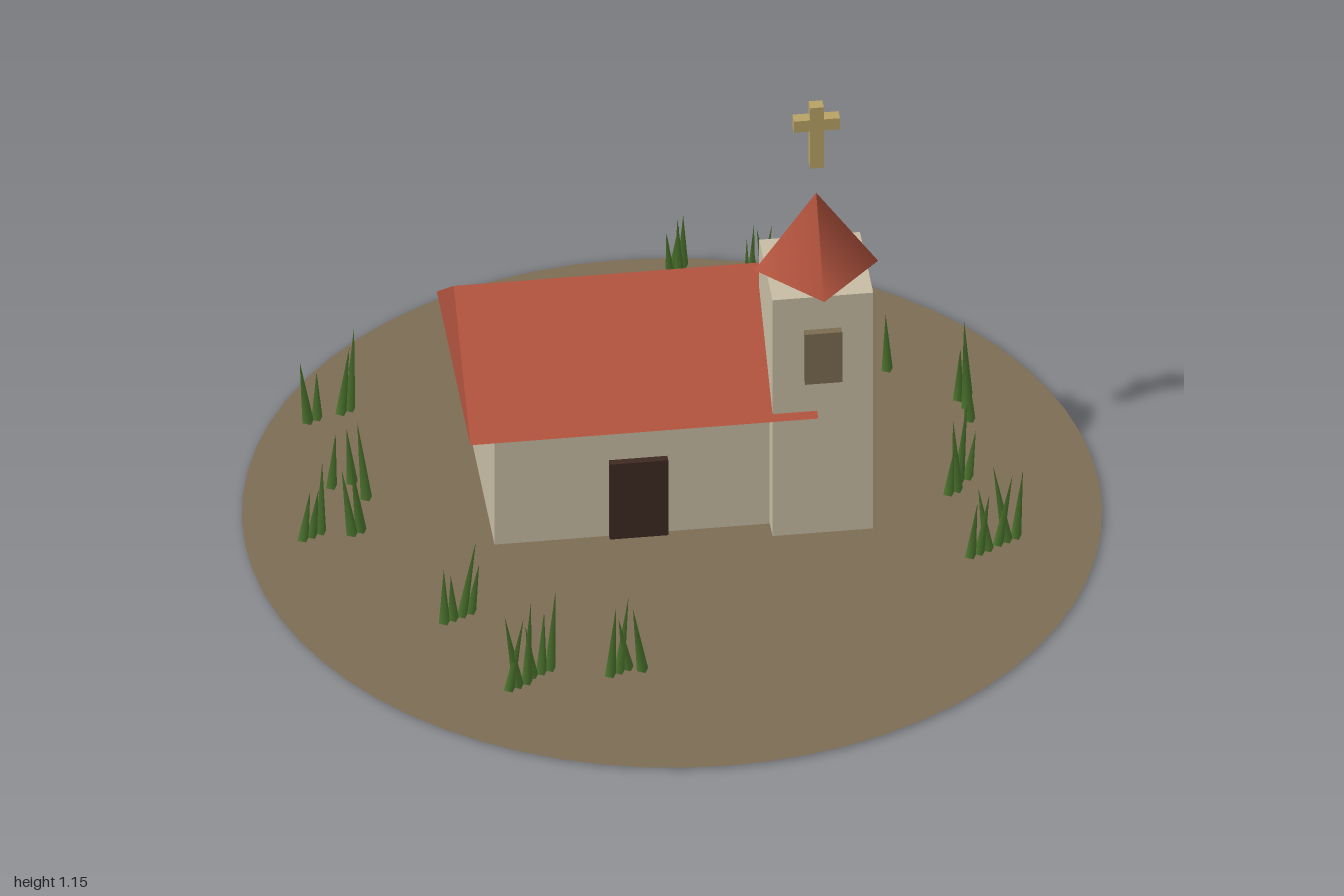
import * as THREE from 'three';

const mat = (name, color, side = THREE.FrontSide) => {
  const m = new THREE.MeshStandardMaterial({ color, side });
  m.name = name;
  return m;
};

export function createModel() {
  const model = new THREE.Group();
  model.name = 'chapel';
  const wall = mat('plaster', 0xcabfa6);
  const roofRed = mat('roofTile', 0xb5553f);
  const earth = mat('earth', 0x7d6e55, THREE.DoubleSide);
  const wood = mat('darkWood', 0x3d2a22);
  const shutter = mat('shutter', 0x7d6e52);
  const gold = mat('gold', 0xbba468);
  const grass = mat('grass', 0x578435);

  const add = (name, geometry, material, parent = model) => {
    const mesh = new THREE.Mesh(geometry, material);
    mesh.name = name;
    parent.add(mesh);
    return mesh;
  };
  // Box given by its limits on each axis
  const box = (name, material, [x0, x1], [y0, y1], [z0, z1], parent) => {
    const mesh = add(name, new THREE.BoxGeometry(x1 - x0, y1 - y0, z1 - z0), material, parent);
    mesh.position.set((x0 + x1) / 2, (y0 + y1) / 2, (z0 + z1) / 2);
    return mesh;
  };

  // Flat round ground
  const ground = add('ground', new THREE.CircleGeometry(1, 64).rotateX(-Math.PI / 2), earth);
  ground.position.y = 0.01;

  // Nave and door
  box('nave', wall, [-0.425, 0.26], [0.006, 0.355], [-0.41, 0.07]);
  box('door', wood, [-0.157, -0.02], [0.012, 0.228], [0.05, 0.088]);

  // Gabled roof: solid triangular prism along x
  const gable = new THREE.Shape([
    new THREE.Vector2(-0.135, 0.35),
    new THREE.Vector2(0.473, 0.35),
    new THREE.Vector2(0.169, 0.588),
  ]);
  const roof = add('naveRoof',
    new THREE.ExtrudeGeometry(gable, { depth: 0.815, bevelEnabled: false }).rotateY(Math.PI / 2), roofRed);
  roof.position.x = -0.49;

  // Tower, window and four-sided spire
  const towerX = 0.338;
  box('tower', wall, [0.22, 0.456], [0.004, 0.69], [-0.12, 0.12]);
  box('towerWindow', shutter, [0.294, 0.381], [0.453, 0.597], [0.1, 0.139]);
  const spire = add('spire', new THREE.ConeGeometry(0.145, 0.21, 4), roofRed);
  spire.position.set(towerX, 0.797, 0);

  // Cross floating above the spire
  const cross = new THREE.Group();
  cross.name = 'cross';
  model.add(cross);
  box('crossPost', gold, [towerX - 0.016, towerX + 0.016], [0.983, 1.157], [-0.014, 0.014], cross);
  for (const s of [-1, 1]) {
    const arm = box('crossArm', gold, [0, 0.038], [1.09, 1.122], [-0.014, 0.014], cross);
    arm.position.x = towerX + s * 0.035;
  }

  // Grass tufts: [x, z, number of blades]
  let seed = 7;
  const rand = () => (seed = (seed * 16807) % 2147483647) / 2147483647;
  const tufts = [
    [0.14, -0.95, 2], [0.125, -0.89, 2], [0.31, -0.81, 3], [0.285, -0.75, 2],
    [0.02, -0.66, 1], [0.09, -0.63, 2], [0.035, -0.57, 1],
    [-0.78, -0.465, 2], [-0.7, -0.49, 2], [0.5, -0.47, 3], [0.57, -0.49, 1],
    [0.73, -0.36, 2], [0.735, -0.32, 1], [0.735, -0.27, 1],
    [-0.77, -0.2, 1], [-0.72, -0.21, 1], [-0.695, -0.145, 1],
    [-0.84, -0.015, 3], [-0.735, -0.015, 2], [0.69, -0.04, 2], [0.66, 0.005, 2],
    [0.69, 0.25, 3], [0.76, 0.21, 3], [-0.545, 0.345, 4],
    [-0.44, 0.63, 3], [-0.38, 0.585, 3], [-0.2, 0.605, 3], [-0.145, 0.605, 1],
  ];
  const meadow = new THREE.Group();
  meadow.name = 'grass';
  model.add(meadow);
  const bladeGeometry = new THREE.ConeGeometry(0.017, 1, 3).translate(0, 0.5, 0);
  for (const [x, z, count] of tufts) {
    for (let i = 0; i < count; i++) {
      const blade = add('grassBlade', bladeGeometry, grass, meadow);
      const t = (i - (count - 1) / 2) * 0.022;
      blade.position.set(x + t, 0.008, z - t * 0.5);
      blade.scale.set(1, 0.13 + rand() * 0.11, 0.6);
      blade.rotation.set((rand() - 0.5) * 0.12, 0.35, (rand() - 0.5) * 0.35);
    }
  }
  return model;
}
